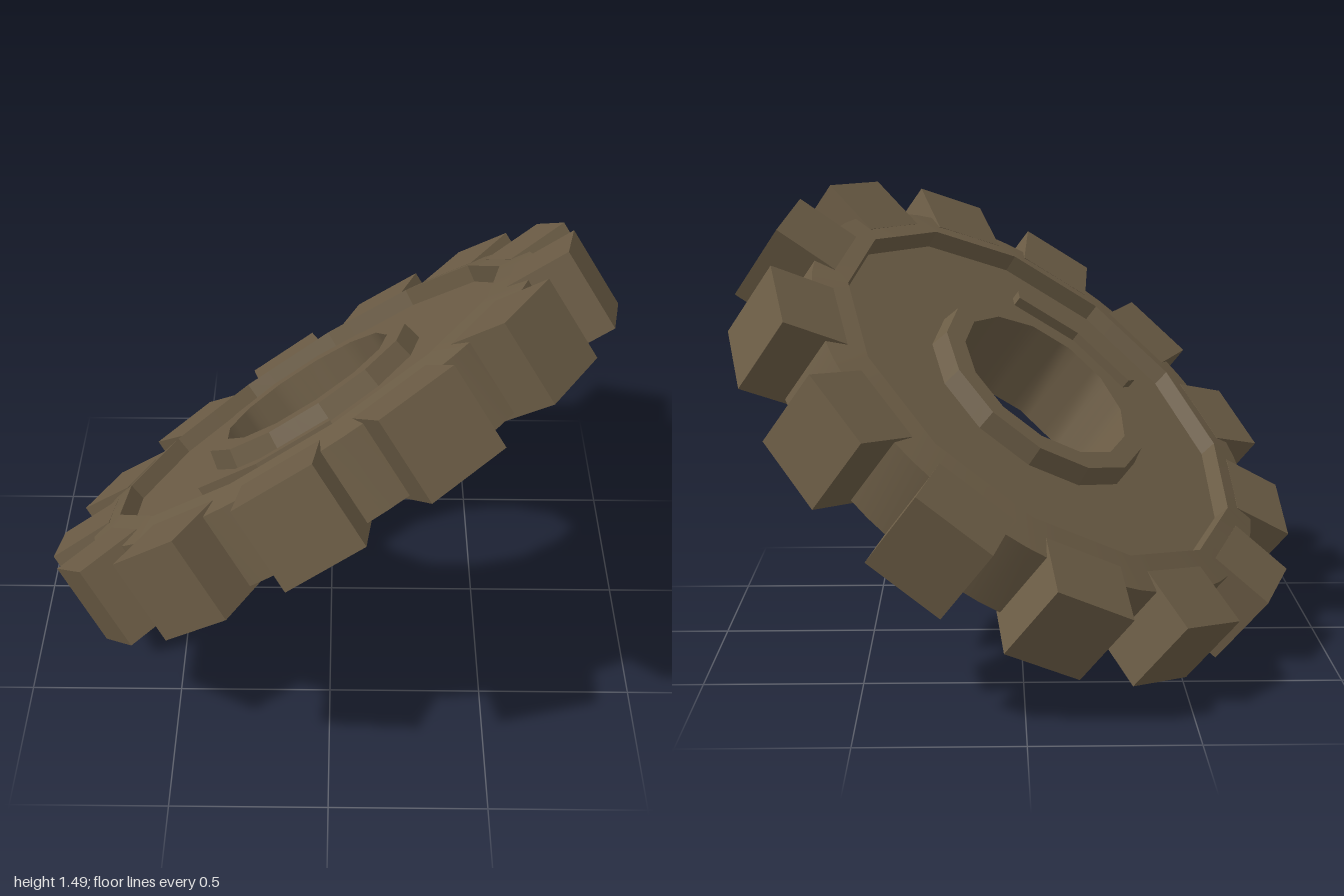
import * as THREE from 'three';
import { toCreasedNormals } from 'three/addons/utils/BufferGeometryUtils.js';

const TEETH = 13;
const STEP = (Math.PI * 2) / TEETH;

// Radius of a 13-sided polygon at a given angle (corner radius r)
function polyRadius(r, angle) {
  const offset = (angle % STEP) - STEP / 2;
  return (r * Math.cos(STEP / 2)) / Math.cos(offset);
}

// Sweeps a profile of [radius, height, round?] around y, from angle 0 to span
function ringGeometry(profile, closed, crease) {
  const segments = TEETH * 4, n = profile.length, pos = [], index = [];
  for (let i = 0; i < segments; i++) {
    const a = (i / segments) * Math.PI * 2;
    for (const [r, h, round] of profile) {
      const q = round ? r : polyRadius(r, a);
      pos.push(Math.sin(a) * q, h, Math.cos(a) * q);
    }
  }
  for (let i = 0; i < segments; i++) {
    const k = (i + 1) % segments;
    for (let j = 0; j < (closed ? n : n - 1); j++) {
      const m = (j + 1) % n;
      const a = i * n + j, b = k * n + j, c = k * n + m, d = i * n + m;
      index.push(a, b, d, b, c, d);
    }
  }
  const g = new THREE.BufferGeometry();
  g.setAttribute('position', new THREE.Float32BufferAttribute(pos, 3));
  g.setIndex(index);
  return toCreasedNormals(g, crease);
}

export function createModel() {
  const bronze = new THREE.MeshStandardMaterial({ color: 0x6b5c45 });
  bronze.name = 'dark bronze';

  const model = new THREE.Group();
  model.name = 'gear';
  const gear = new THREE.Group();
  gear.name = 'tiltedGear';
  model.add(gear);

  const add = (geometry, name) => {
    const mesh = new THREE.Mesh(geometry, bronze);
    mesh.name = name;
    gear.add(mesh);
    return mesh;
  };

  // Wheel: sloped rim, recessed web and raised hub on both faces
  const half = [
    [0.86, 0.125, true], [0.745, 0.15], [0.735, 0.09],
    [0.4, 0.09], [0.385, 0.155], [0.315, 0.155],
  ];
  const lower = half.map(([r, h, round]) => [r, -h, round]).reverse();
  add(ringGeometry([...lower, ...half], false, 0.35), 'wheel');

  // Smooth bore through the hub
  add(ringGeometry([[0.315, 0.155], [0.315, -0.155]], false, 0.6), 'bore');

  // Block teeth, set midway between the web corners
  const toothGeometry = new THREE.BoxGeometry(0.27, 0.28, 0.22);
  toothGeometry.translate(0, 0, 0.89);
  for (let i = 0; i < TEETH; i++) {
    add(toothGeometry, 'tooth').rotation.y = (i + 0.5) * STEP;
  }

  // Raised two-segment rib on the upper web
  const rib = new THREE.Shape();
  const corner = (r, k) => [r * Math.sin(k * STEP), -r * Math.cos(k * STEP)];
  rib.moveTo(...corner(0.56, -1));
  rib.lineTo(...corner(0.56, 0));
  rib.lineTo(...corner(0.56, 1));
  rib.lineTo(...corner(0.52, 1));
  rib.lineTo(...corner(0.52, 0));
  rib.lineTo(...corner(0.52, -1));
  rib.closePath();
  const ribGeometry = new THREE.ExtrudeGeometry(rib, { depth: 0.045, bevelEnabled: false });
  ribGeometry.rotateX(-Math.PI / 2);
  ribGeometry.translate(0, 0.08, 0);
  add(ribGeometry, 'rib');

  // Tilt: gear axis leans left and back, rib points to the front
  const axis = new THREE.Vector3(-0.54, 0.772, -0.335).normalize();
  const front = new THREE.Vector3(-0.278, 0.211, 0.935);
  const side = new THREE.Vector3().crossVectors(axis, front).normalize();
  front.crossVectors(side, axis);
  gear.quaternion.setFromRotationMatrix(new THREE.Matrix4().makeBasis(side, axis, front));

  // Rest on the ground, centred
  model.updateMatrixWorld(true);
  const box = new THREE.Box3().setFromObject(model, true);
  const centre = box.getCenter(new THREE.Vector3());
  gear.position.set(-centre.x, -box.min.y, -centre.z);
  return model;
}
